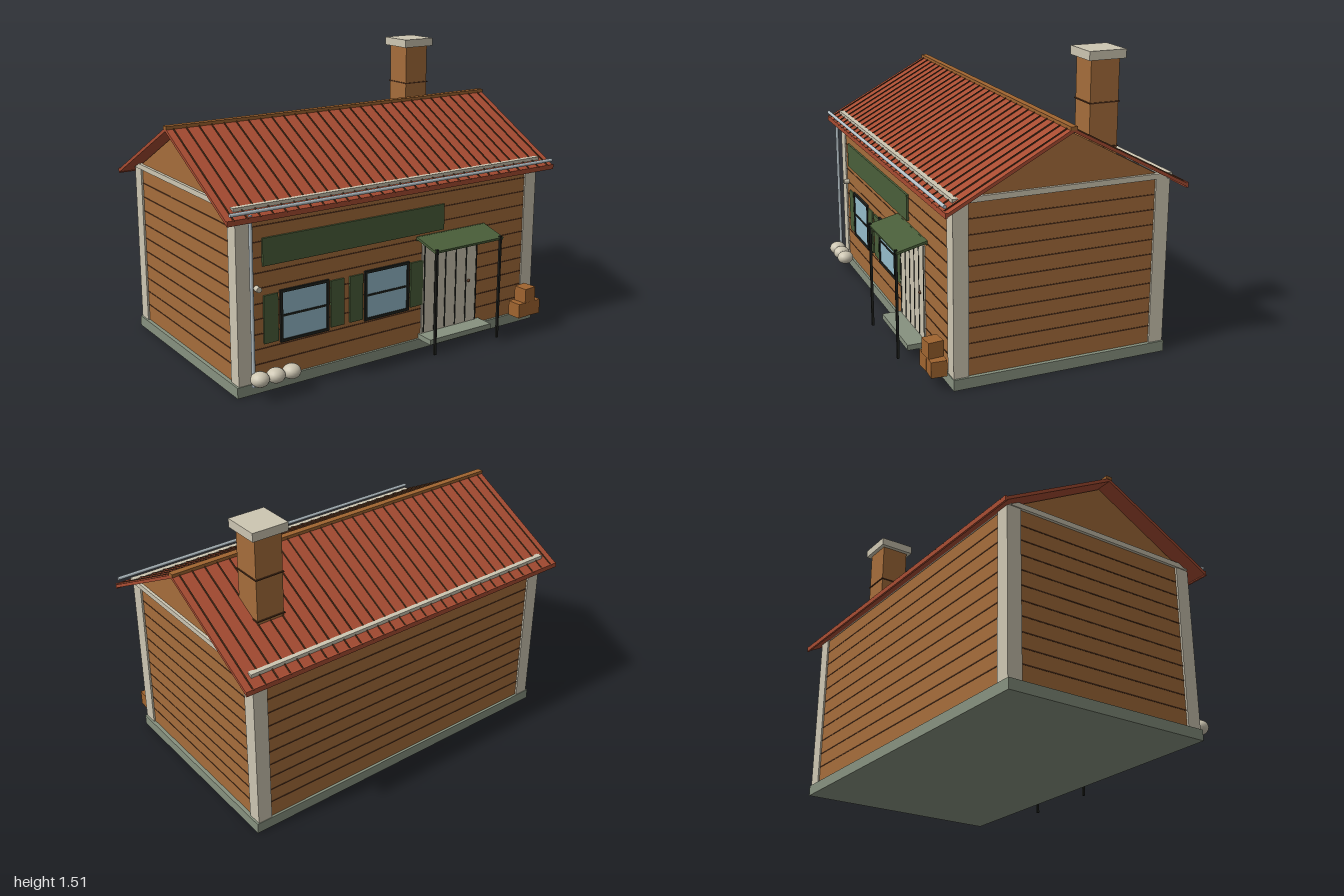
import * as THREE from 'three';

export function createModel() {
  const root = new THREE.Group();
  const mat = (name, color) => {
    const m = new THREE.MeshStandardMaterial({ color });
    m.name = name;
    return m;
  };
  const wall = mat('wood siding', 0xa56d3b);
  const dark = mat('dark joint', 0x55331d);
  const trim = mat('cream trim', 0xcdc6b2);
  const roofRed = mat('red roof', 0xa84c32);
  const stone = mat('foundation grey', 0x87917f);
  const green = mat('green paint', 0x4a5f3a);
  const glass = mat('window glass', 0x95bccb);
  const black = mat('black iron', 0x20221e);
  const metal = mat('gutter metal', 0xb4c0c6);
  const crate = mat('crate wood', 0xa0642f);

  const add = (name, geo, m, x, y, z, parent = root) => {
    const mesh = new THREE.Mesh(geo, m);
    mesh.name = name;
    mesh.position.set(x, y, z);
    parent.add(mesh);
    return mesh;
  };
  // Box given by its min and max on each axis
  const box = (name, m, x0, x1, y0, y1, z0, z1, parent = root) =>
    add(name, new THREE.BoxGeometry(x1 - x0, y1 - y0, z1 - z0), m,
      (x0 + x1) / 2, (y0 + y1) / 2, (z0 + z1) / 2, parent);

  const midZ = -0.043, front = 0.505, back = -0.591;

  // Foundation and doorstep
  box('foundation', stone, -0.935, 0.935, 0, 0.055, -0.604, 0.517);
  box('doorstep', stone, 0.14, 0.55, 0.052, 0.08, 0.5, 0.61);

  // Walls with gables, extruded along x
  const gable = new THREE.Shape();
  [[front, 0.05], [front, 0.895], [midZ, 1.19], [back, 0.895], [back, 0.05]]
    .forEach(([z, y], i) => (i ? gable.lineTo(-z, y) : gable.moveTo(-z, y)));
  const wallGeo = new THREE.ExtrudeGeometry(gable, { depth: 1.83, bevelEnabled: false });
  wallGeo.rotateY(Math.PI / 2);
  add('walls', wallGeo, wall, -0.915, 0, 0);

  // Siding joints running round all four walls
  for (let k = 0; k < 10; k++) {
    const y = 0.142 + k * 0.0758;
    box('sidingJoint', dark, -0.917, 0.917, y - 0.003, y + 0.003, back - 0.002, front + 0.002);
  }

  // Corner posts and top plates
  for (const s of [-1, 1]) {
    const x0 = s > 0 ? 0.848 : -0.925, x1 = s > 0 ? 0.925 : -0.848;
    box('cornerPost', trim, x0, x1, 0.055, 0.905, 0.437, 0.513);
    box('cornerPost', trim, x0, x1, 0.055, 0.905, -0.6, -0.524);
    box('gablePlate', trim, s > 0 ? 0.905 : -0.93, s > 0 ? 0.93 : -0.905, 0.903, 0.93, -0.603, 0.517);
  }
  box('frontPlate', trim, -0.935, 0.935, 0.903, 0.931, 0.491, 0.518);
  box('backPlate', trim, -0.935, 0.935, 0.903, 0.931, -0.606, -0.58);

  // Roof slopes with seams and eave lips
  const run = 0.615, drop = 0.327, len = Math.hypot(run, drop);
  for (const s of [-1, 1]) {
    const slope = new THREE.Group();
    slope.name = s > 0 ? 'frontRoof' : 'backRoof';
    slope.position.set(0, 1.212, midZ);
    slope.rotation.x = s * Math.atan2(drop, run);
    root.add(slope);
    add('roofSheet', new THREE.BoxGeometry(1.99, 0.016, len), roofRed, 0, -0.008, s * len / 2, slope);
    for (let k = -14; k <= 14; k++) {
      add('roofSeam', new THREE.BoxGeometry(0.006, 0.006, len), dark, k * 0.0684, 0.002, s * len / 2, slope);
    }
    add('eaveLip', new THREE.BoxGeometry(1.99, 0.026, 0.01), roofRed, 0, 0.879, midZ + s * (run - 0.004));
  }
  box('ridgeCap', crate, -0.997, 0.997, 1.204, 1.221, midZ - 0.017, midZ + 0.017);

  // Front gutter and downspout
  const gutter = add('gutter', new THREE.CylinderGeometry(0.009, 0.009, 1.96, 12), metal, 0, 0.917, 0.57);
  gutter.rotation.z = Math.PI / 2;
  add('downspout', new THREE.CylinderGeometry(0.009, 0.009, 0.84, 12), metal, -0.868, 0.478, 0.554);

  // Chimney
  box('chimney', wall, 0.608, 0.756, 0.98, 1.468, -0.399, -0.248);
  for (const y of [1.04, 1.258]) {
    box('chimneyJoint', dark, 0.603, 0.761, y - 0.003, y + 0.003, -0.404, -0.243);
  }
  box('chimneyCap', trim, 0.585, 0.779, 1.467, 1.511, -0.421, -0.226);

  // Blank sign board
  box('signBoard', green, -0.785, 0.29, 0.628, 0.764, 0.5, 0.516);

  // Windows with shutters
  for (const cx of [-0.556, -0.068]) {
    const w = new THREE.Group();
    w.name = 'window';
    w.position.x = cx;
    root.add(w);
    box('pane', glass, -0.13, 0.13, 0.24, 0.485, 0.5, 0.51, w);
    for (const s of [-1, 1]) {
      box('frameSide', black, s * 0.131 - 0.007, s * 0.131 + 0.007, 0.23, 0.492, 0.5, 0.516, w);
      box('shutter', green, s * 0.188 - 0.039, s * 0.188 + 0.039, 0.241, 0.482, 0.5, 0.514, w);
    }
    for (const y of [0.236, 0.486]) box('frameRail', black, -0.138, 0.138, y - 0.007, y + 0.007, 0.5, 0.516, w);
    box('glazingBar', black, -0.13, 0.13, 0.357, 0.367, 0.5, 0.514, w);
  }

  // Planked door
  box('door', trim, 0.155, 0.525, 0.078, 0.575, 0.5, 0.512);
  for (let k = 0; k < 6; k++) {
    const x = 0.17 + k * 0.07;
    box('doorJoint', black, x - 0.004, x + 0.004, 0.085, 0.575, 0.508, 0.514);
  }
  add('doorKnob', new THREE.SphereGeometry(0.009, 12, 8), dark, 0.468, 0.312, 0.514);

  // Awning on two posts
  const awning = add('awning', new THREE.BoxGeometry(0.45, 0.013, 0.16), green, 0.343, 0.589, 0.585);
  awning.rotation.x = 0.24;
  box('awningLedger', green, 0.118, 0.568, 0.593, 0.614, 0.503, 0.513);
  for (const x of [0.13, 0.55]) box('awningPost', black, x - 0.006, x + 0.006, 0.02, 0.585, 0.654, 0.666);

  // Wall lamp
  const lamp = add('wallLamp', new THREE.CylinderGeometry(0.014, 0.014, 0.032, 12), trim, -0.818, 0.525, 0.52);
  lamp.rotation.x = Math.PI / 2;

  // Sacks
  for (const x of [-0.85, -0.764, -0.677]) {
    const sack = add('sack', new THREE.SphereGeometry(0.046, 18, 12), trim, x, 0.104, 0.582);
    sack.scale.y = 0.8;
  }

  // Stacked crates
  [[0.784, 0.108, 0.576, 0.06], [0.864, 0.108, 0.574, -0.05], [0.822, 0.188, 0.578, 0.1]].forEach(([x, y, z, turn]) => {
    add('crate', new THREE.BoxGeometry(0.078, 0.08, 0.078), crate, x, y, z).rotation.y = turn;
  });

  return root;
}
